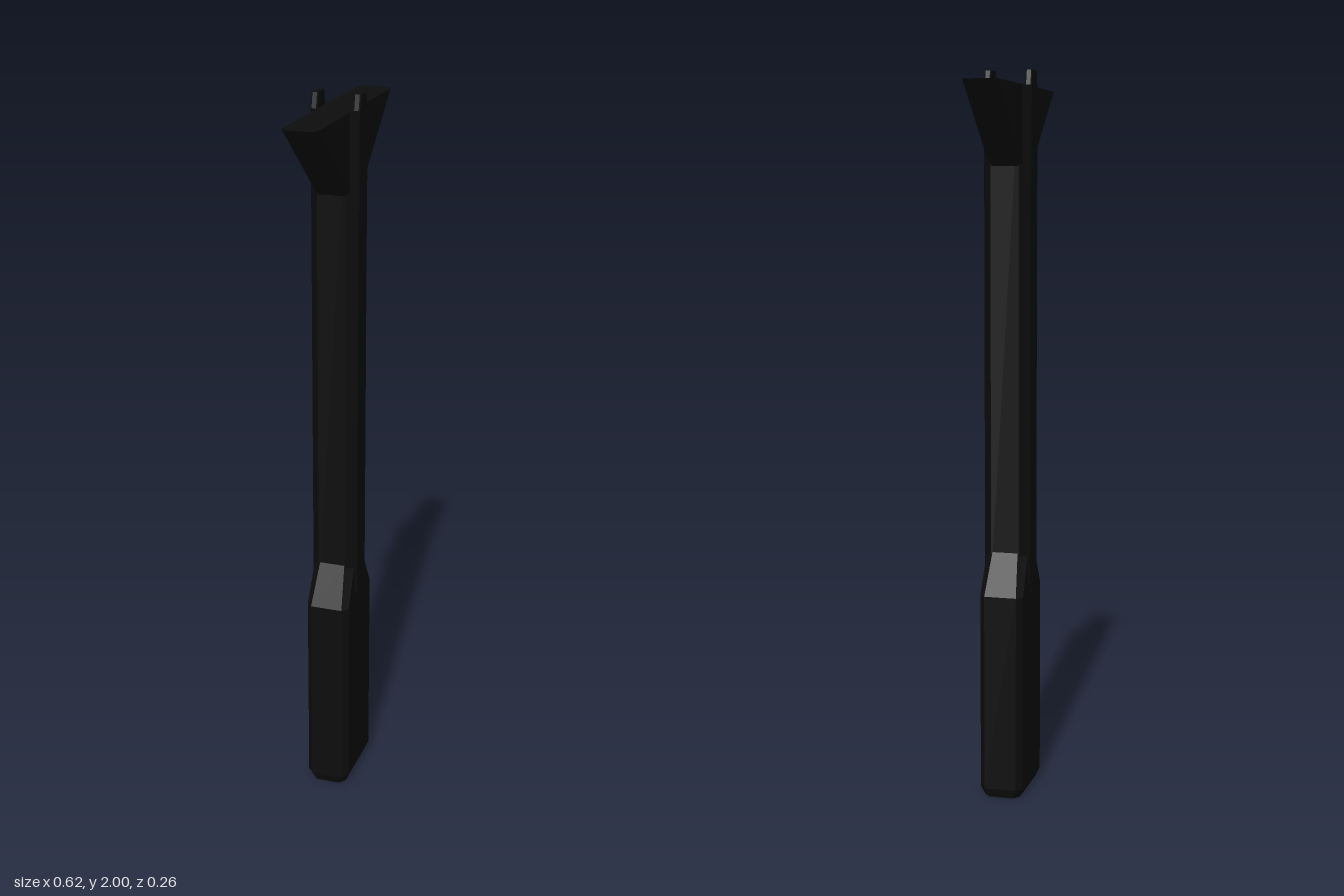
import * as THREE from 'three';

// Chamfered-rectangle ring: half width u, half depth w, chamfers cu and cw
function ring([y, u, w, cu, cw]) {
  return [
    [u, w - cw], [u, -w + cw], [u - cu, -w], [-u + cu, -w],
    [-u, -w + cw], [-u, w - cw], [-u + cu, w], [u - cu, w],
  ].map(([x, z]) => new THREE.Vector3(x, y, z));
}

// Skin a stack of rings from bottom to top and close both ends
function loft(sections) {
  const rings = sections.map(ring);
  const pos = [];
  const tri = (a, b, c) => pos.push(...a.toArray(), ...b.toArray(), ...c.toArray());
  for (let i = 0; i < rings.length - 1; i++) {
    for (let j = 0; j < 8; j++) {
      const k = (j + 1) % 8;
      const [a, b, c, d] = [rings[i][j], rings[i][k], rings[i + 1][k], rings[i + 1][j]];
      tri(a, b, c);
      tri(a, c, d);
    }
  }
  const low = rings[0], top = rings[rings.length - 1];
  for (let j = 1; j < 7; j++) {
    tri(low[0], low[j + 1], low[j]);
    tri(top[0], top[j], top[j + 1]);
  }
  const geo = new THREE.BufferGeometry();
  geo.setAttribute('position', new THREE.Float32BufferAttribute(pos, 3));
  geo.computeVertexNormals();
  return geo;
}

export function createModel() {
  const group = new THREE.Group();
  group.name = 'flaredPillar';
  const black = new THREE.MeshStandardMaterial({ color: 0x0d0d0d });
  black.name = 'black';

  // The whole pillar is turned slightly about its upright axis
  const body = new THREE.Group();
  body.name = 'pillar';
  body.rotation.y = 0.29;
  group.add(body);

  const add = (name, geo) => {
    const mesh = new THREE.Mesh(geo, black);
    mesh.name = name;
    body.add(mesh);
    return mesh;
  };

  // Wide foot with a small bottom bevel, tapering into the shaft
  add('base', loft([
    [0, 0.108, 0.05, 0.02, 0.016],
    [0.025, 0.115, 0.061, 0.018, 0.016],
    [0.575, 0.115, 0.061, 0.018, 0.016],
    [0.69, 0.062, 0.058, 0.026, 0.022],
  ]));

  // Eight-sided shaft
  add('shaft', loft([
    [0.6, 0.062, 0.065, 0.027, 0.025],
    [1.96, 0.062, 0.065, 0.027, 0.025],
  ]));

  // Flared head with two tapering arms
  add('head', loft([
    [1.74, 0.055, 0.047, 0.016, 0.012],
    [1.96, 0.314, 0.047, 0.016, 0.012],
  ]));

  // Raised ridges on the front and back of the head
  for (const side of [1, -1]) {
    const ridge = add(side > 0 ? 'frontRidge' : 'backRidge', loft([
      [1.7, 0.036, 0.009, 0.003, 0.003],
      [1.95, 0.036, 0.009, 0.003, 0.003],
      [2, 0.025, 0.009, 0.003, 0.003],
    ]));
    ridge.position.z = side * 0.057;
  }
  return group;
}
